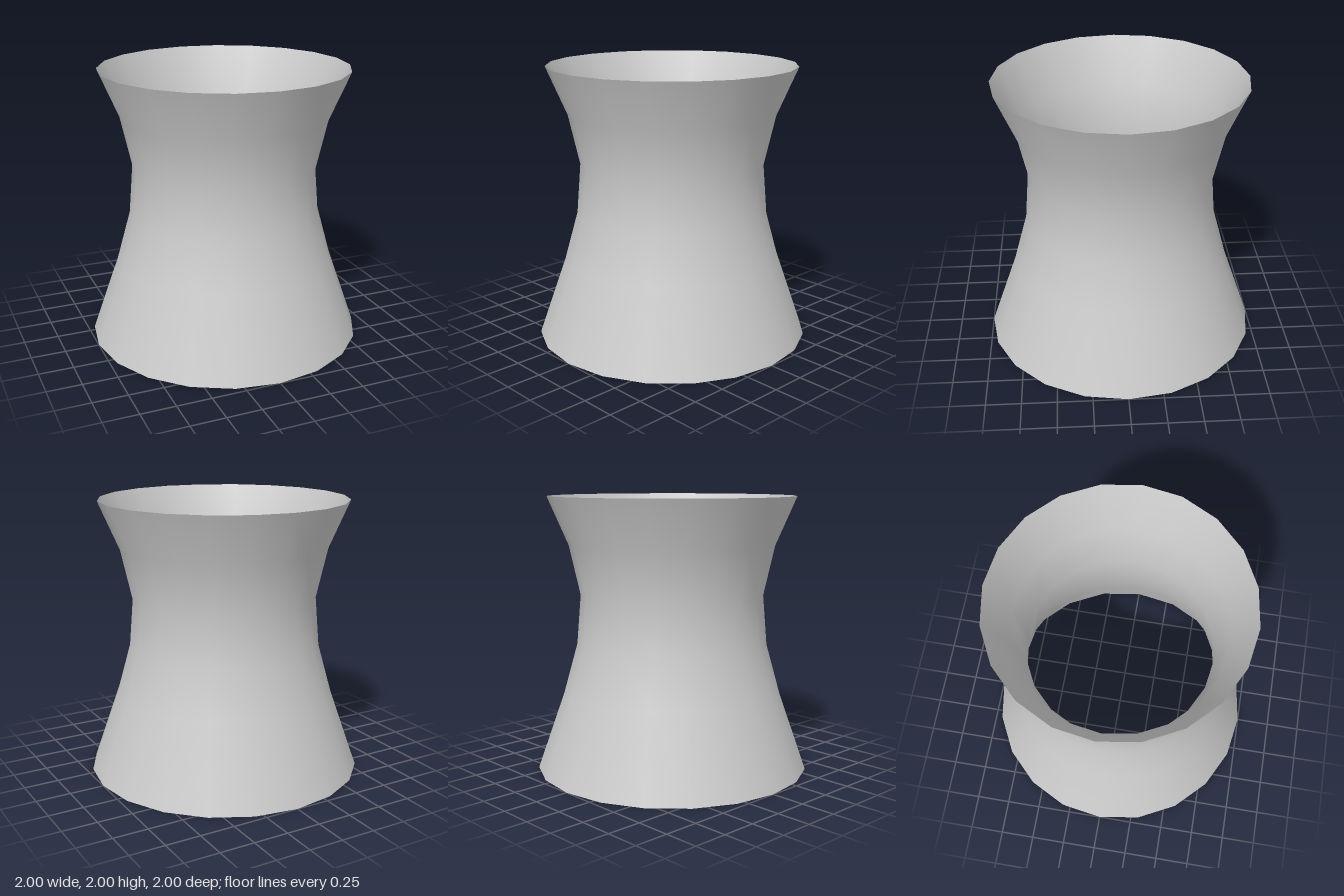
import * as THREE from 'three';

export function createModel() {
  const group = new THREE.Group();
  group.name = 'coolingTower';

  // Waisted profile from base to rim: [radius, height]
  const profile = [
    [1, 0], [0.8, 0.57], [0.7, 0.93], [0.67, 1.29], [0.75, 1.65], [0.9, 2],
  ].map(([r, y]) => new THREE.Vector2(r, y));

  // Thin open shell, smooth shaded
  const shell = new THREE.Mesh(
    new THREE.LatheGeometry(profile, 20),
    new THREE.MeshStandardMaterial({ color: 0xcccccc, side: THREE.DoubleSide })
  );
  shell.name = 'towerShell';
  group.add(shell);

  return group;
}
